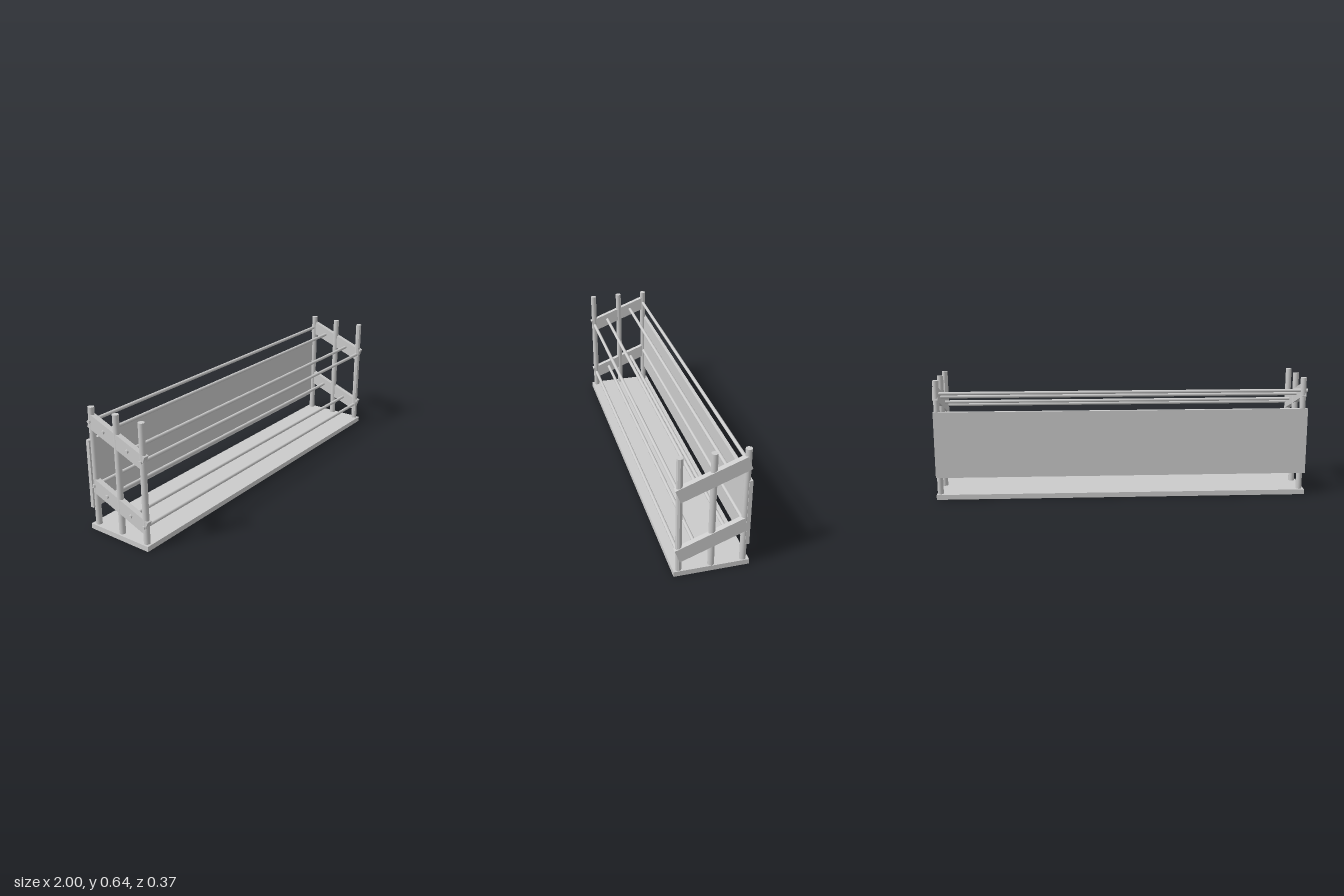
import * as THREE from 'three';

export function createModel() {
  const model = new THREE.Group();
  const grey = new THREE.MeshStandardMaterial({ color: 0xcccccc });
  const faceted = new THREE.MeshStandardMaterial({ color: 0xcccccc, flatShading: true });

  function add(name, geometry, x, y, z, material = grey) {
    const mesh = new THREE.Mesh(geometry, material);
    mesh.name = name;
    mesh.position.set(x, y, z);
    model.add(mesh);
    return mesh;
  }

  // Base board and back panel
  add('base', new THREE.BoxGeometry(1.995, 0.027, 0.374), -0.002, 0.0135, 0);
  add('backPanel', new THREE.BoxGeometry(1.995, 0.357, 0.019), -0.002, 0.2985, -0.1725);

  // Three upright posts at each end; the left front one is faceted
  const post = new THREE.CylinderGeometry(0.016, 0.016, 0.633, 24);
  const facetedPost = new THREE.CylinderGeometry(0.016, 0.016, 0.633, 8);
  for (const x of [-0.974, 0.977]) {
    for (const z of [0.16, 0, -0.159]) {
      const special = x > 0 && z > 0.1;
      add('post', special ? facetedPost : post, x, 0.3265, z, special ? faceted : grey);
    }
  }

  // Two sloping shelves: a slanted rail at each end carrying four long rods
  const tilt = 0.36;
  const rail = new THREE.BoxGeometry(0.028, 0.072, 0.358);
  const rod = new THREE.CylinderGeometry(0.009, 0.009, 1.975, 16).rotateZ(Math.PI / 2);
  for (const y of [0.177, 0.512]) {
    for (const x of [-0.975, 0.982]) {
      add('shelfRail', rail, x, y, 0.003).rotation.x = tilt;
    }
    for (const z of [0.16, 0.077, -0.072, -0.159]) {
      add('shelfRod', rod, -0.0105, y - (z - 0.003) * Math.tan(tilt), z);
    }
  }
  return model;
}
